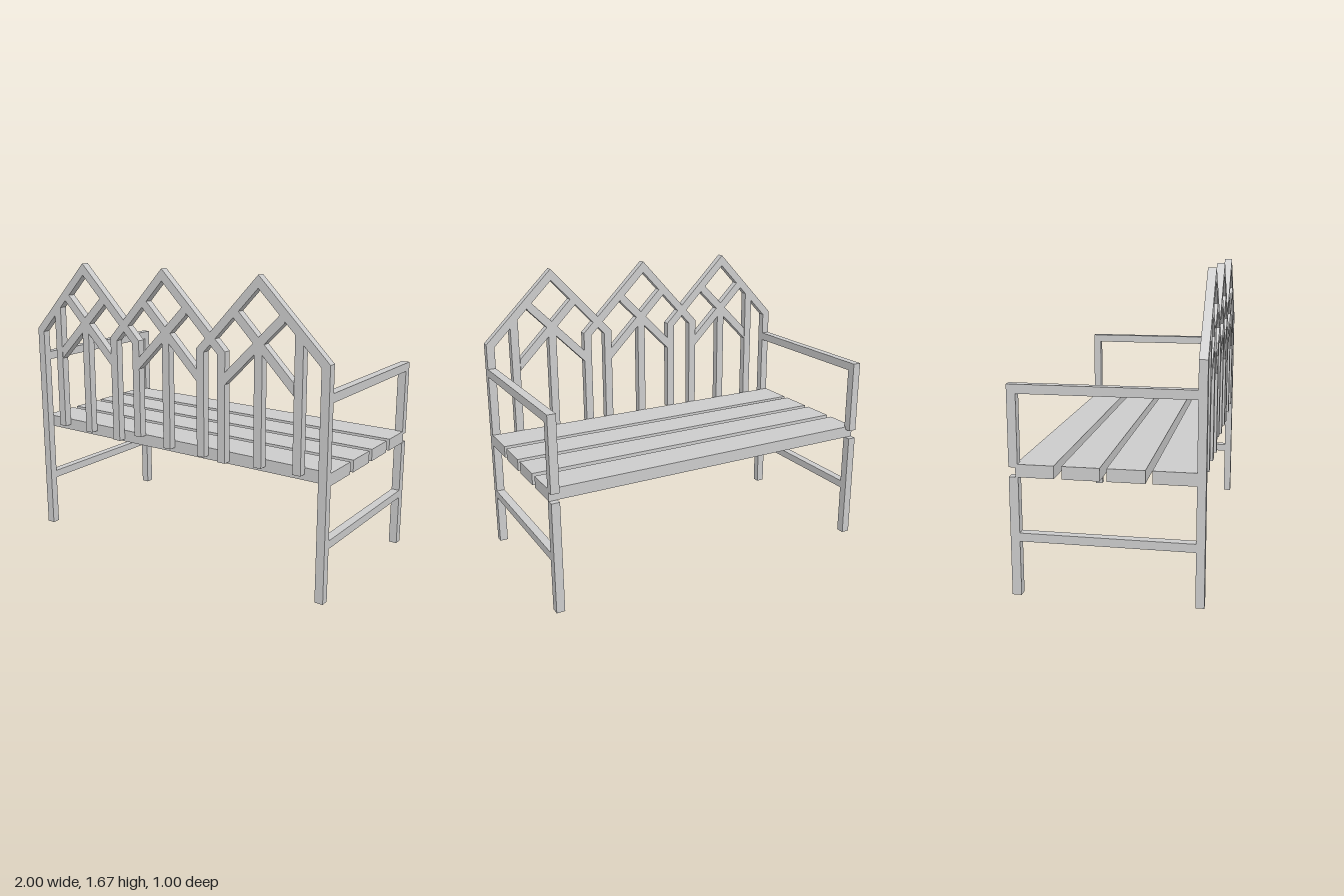
import * as THREE from 'three';

const BACK = 0.455, FRONT = 0.5; // depth range of the lattice backrest

export function createModel() {
  const group = new THREE.Group();
  const material = new THREE.MeshStandardMaterial({ color: 0xcccccc, flatShading: true });

  const add = (name, geometry) => {
    const mesh = new THREE.Mesh(geometry, material);
    mesh.name = name;
    group.add(mesh);
    return mesh;
  };
  // Box given by its limits on each axis
  const beam = (name, [x0, x1], [y0, y1], [z0, z1]) =>
    add(name, new THREE.BoxGeometry(x1 - x0, y1 - y0, z1 - z0))
      .position.set((x0 + x1) / 2, (y0 + y1) / 2, (z0 + z1) / 2);
  // Flat outline cut from the backrest's thickness
  const panel = (name, points) => {
    const shape = new THREE.Shape(points.map(([x, y]) => new THREE.Vector2(x, y)));
    const geometry = new THREE.ExtrudeGeometry(shape, { depth: FRONT - BACK, bevelEnabled: false });
    add(name, geometry.translate(0, 0, BACK));
  };

  // Seat slats
  [[0.235, 0.455], [0.005, 0.2], [-0.225, -0.03], [-0.465, -0.265]]
    .forEach((z) => beam('seatSlat', [-1, 1], [0.637, 0.705], z));

  // Side frames: arm, post, leg and lower rail
  for (const side of [-1, 1]) {
    const x = side < 0 ? [-1, -0.952] : [0.952, 1];
    beam('armrest', x, [1.067, 1.115], [-0.5, BACK]);
    beam('armPost', x, [0.688, 1.067], [-0.5, -0.453]);
    beam('openSideLeg', x, [0, 0.637], [-0.5, -0.451]);
    beam('lowerRail', x, [0.295, 0.34], [-0.451, BACK]);
  }

  // Three overlapping gables: outer edges, peak, foot heights, lattice centre and diagonal ends
  const gables = [
    { l: -1, r: -0.2, peak: -0.61, footL: 0, footR: 0.7, c: -0.605, dl: -0.8, dr: -0.41, foot: 0.665 },
    { l: -0.41, r: 0.385, peak: -0.03, footL: 0.65, footR: 0.65, c: -0.01, dl: -0.2, dr: 0.2, foot: 0.665 },
    { l: 0.2, r: 1, peak: 0.585, footL: 0.66, footR: 0, c: 0.59, dl: 0.385, dr: 0.8, foot: 0.665 },
  ];
  const w = 0.048, eave = 1.262, top = 1.672, drop = 0.067, half = drop / 2;
  for (const g of gables) {
    const innerL = eave + (w * (top - eave)) / (g.peak - g.l) - drop;
    const innerR = eave + (w * (top - eave)) / (g.r - g.peak) - drop;
    panel('gableFrame', [
      [g.l, g.footL], [g.l + w, g.footL], [g.l + w, innerL], [g.peak, top - drop],
      [g.r - w, innerR], [g.r - w, g.footR], [g.r, g.footR], [g.r, eave], [g.peak, top], [g.l, eave],
    ]);
    // Crossing diagonals, each running from a picket up to the opposite slope
    const crossY = 1.325;
    for (const [dir, end] of [[1, g.dl], [-1, g.dr]]) {
      const reach = 0.152 + (g.peak - g.c) * dir / 2;
      const lowY = crossY - Math.abs(end - g.c);
      const upX = g.c + dir * reach, upY = crossY + reach;
      panel('diagonalBrace', [[end, lowY - half], [upX, upY - half], [upX, upY + half], [end, lowY + half]]);
    }
    beam('centrePicket', [g.c - w / 2, g.c + w / 2], [g.foot, crossY], [BACK, FRONT]);
  }

  // Outer pickets, cut to the roof slope
  for (const s of [-1, 1])
    panel('outerPicket', [[s * 0.85, 0.67], [s * 0.802, 0.67], [s * 0.802, 1.44], [s * 0.85, 1.39]]);

  return group;
}
